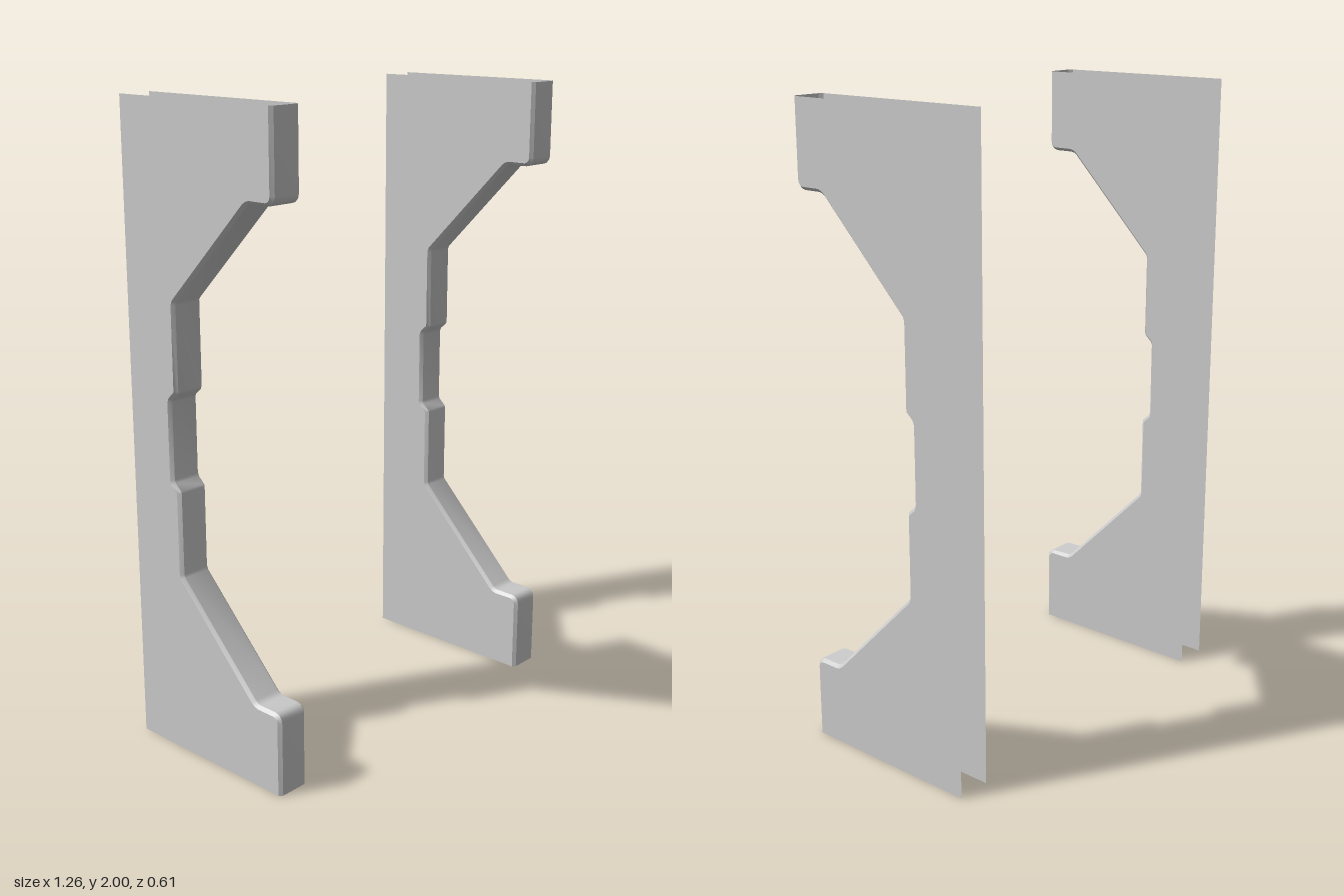
import * as THREE from 'three';
import { toCreasedNormals } from 'three/addons/utils/BufferGeometryUtils.js';

const BACK = -0.305, HALF_WIDTH = 0.055, BEVEL = 0.01;

// Upper half of the front edge as [z, y], mirrored about y = 1 below
const upper = [
  [0.305, 2], [0.305, 1.765], [0.302, 1.752], [0.292, 1.741], [0.279, 1.737],
  [0.217, 1.737], [0.206, 1.734], [0.196, 1.727],
  [-0.101, 1.424], [-0.105, 1.414],
  [-0.105, 1.157], [-0.108, 1.149], [-0.13, 1.129], [-0.134, 1.119],
];
const edge = [...upper, ...upper.map(([z, y]) => [z, 2 - y]).reverse()]
  .map(([z, y]) => new THREE.Vector2(z, y));

// Mitred copy of the edge, moved into the body by d
function inset(points, d) {
  const normal = (a, b) => {
    const t = b.clone().sub(a).normalize();
    return new THREE.Vector2(t.y, -t.x);
  };
  return points.map((p, i) => {
    const n1 = normal(points[Math.max(i - 1, 0)], points[Math.max(i, 1)]);
    const last = points.length - 1;
    const n2 = normal(points[Math.min(i, last - 1)], points[Math.min(i + 1, last)]);
    const m = n1.clone().add(n2).normalize();
    return p.clone().addScaledVector(m, d / m.dot(n1));
  });
}

// Front strip with a chamfer along both long edges
function stripGeometry(inner) {
  const w = HALF_WIDTH, f = w - BEVEL;
  const section = [[-w, inner], [-f, edge], [f, edge], [w, inner]];
  const positions = [];
  for (let i = 0; i < edge.length - 1; i++) {
    for (let j = 0; j < 3; j++) {
      const v = (row, col) => {
        const [x, line] = section[col];
        return [x, line[row].y, line[row].x];
      };
      const a = v(i, j), b = v(i + 1, j), c = v(i + 1, j + 1), d = v(i, j + 1);
      positions.push(...a, ...b, ...c, ...a, ...c, ...d);
    }
  }
  const g = new THREE.BufferGeometry();
  g.setAttribute('position', new THREE.Float32BufferAttribute(positions, 3));
  return toCreasedNormals(g, 0.6);
}

export function createModel() {
  const model = new THREE.Group();
  const material = new THREE.MeshStandardMaterial({ color: 0xcccccc, side: THREE.DoubleSide });
  const inner = inset(edge, BEVEL);
  const strip = stripGeometry(inner);

  // Flat side plate, turned so the shape's x runs along z
  const shape = new THREE.Shape([
    ...inner, new THREE.Vector2(BACK, 0), new THREE.Vector2(BACK, 2),
  ]);
  const plate = new THREE.ShapeGeometry(shape).rotateY(-Math.PI / 2);

  for (const [name, side] of [['left', 1], ['right', -1]]) {
    // Hollow panel, open at the back, top and bottom
    const panel = new THREE.Group();
    panel.name = name + 'SidePanel';
    panel.position.x = side * 0.575;
    const front = new THREE.Mesh(strip, material);
    front.name = 'frontStrip';
    panel.add(front);
    for (const s of [-1, 1]) {
      const mesh = new THREE.Mesh(plate, material);
      mesh.name = s === side ? 'outerPlate' : 'innerPlate';
      mesh.position.x = s * HALF_WIDTH;
      if (s > 0) mesh.scale.x = -1; // face outward
      panel.add(mesh);
    }
    model.add(panel);
  }
  return model;
}
